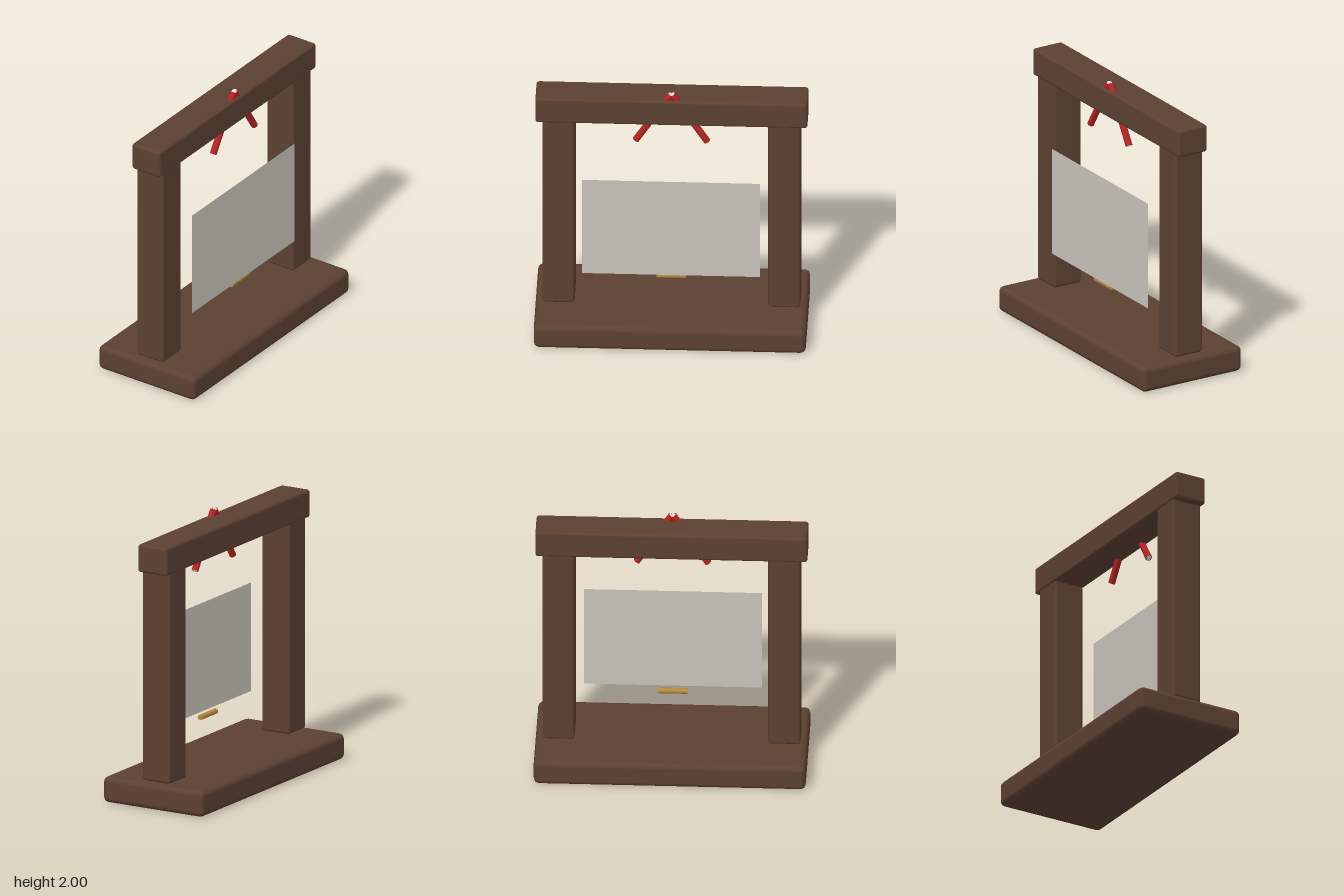
import * as THREE from 'three';
import { RoundedBoxGeometry } from 'three/addons/geometries/RoundedBoxGeometry.js';

const material = (name, color) => {
  const m = new THREE.MeshStandardMaterial({ color });
  m.name = name;
  return m;
};

export function createModel() {
  const group = new THREE.Group();
  const wood = material('dark wood', 0x5c4033);
  const red = material('red', 0xb22525);
  const white = material('white', 0xeeeeee);
  const gold = material('gold', 0xb58a40);
  const grey = material('pale grey', 0xc9c4bb);
  grey.side = THREE.DoubleSide;

  const add = (name, geometry, mat, x, y, z, parent = group) => {
    const mesh = new THREE.Mesh(geometry, mat);
    mesh.name = name;
    mesh.position.set(x, y, z);
    parent.add(mesh);
    return mesh;
  };

  // Wooden frame: base, two posts and the top beam
  add('base', new RoundedBoxGeometry(1.94, 0.19, 0.84, 2, 0.04), wood, 0, 0.095, 0);
  add('beam', new RoundedBoxGeometry(1.94, 0.205, 0.245, 2, 0.02), wood, 0, 1.8425, 0);
  for (const side of [-1, 1]) {
    const name = side < 0 ? 'rightPost' : 'leftPost';
    add(name, new RoundedBoxGeometry(0.23, 1.565, 0.232, 2, 0.02), wood, side * 0.805, 0.9775, 0);
  }

  // Hanging sheet and the small bar below it
  add('panel', new THREE.PlaneGeometry(1.27, 0.8), grey, 0, 0.892, 0.168);
  const bar = add('bar', new THREE.CylinderGeometry(0.021, 0.021, 0.21, 8), gold, 0, 0.47, 0.135);
  bar.rotation.z = Math.PI / 2;

  // Two slanted rods meeting above the beam, with pale ends
  const length = 0.465;
  for (const side of [-1, 1]) {
    const rod = new THREE.Group();
    rod.name = side < 0 ? 'rightRod' : 'leftRod';
    rod.position.set(side * 0.13, 1.79, 0.085);
    rod.rotation.z = side * 0.565;
    add('rodBody', new THREE.CylinderGeometry(0.025, 0.025, length, 12), red, 0, 0, 0, rod);
    for (const end of [-1, 1]) {
      const cap = new THREE.CylinderGeometry(0.019, 0.019, 0.004, 12);
      add('rodEnd', cap, white, 0, end * (length / 2 + 0.001), 0, rod);
    }
    group.add(rod);
  }
  return group;
}
